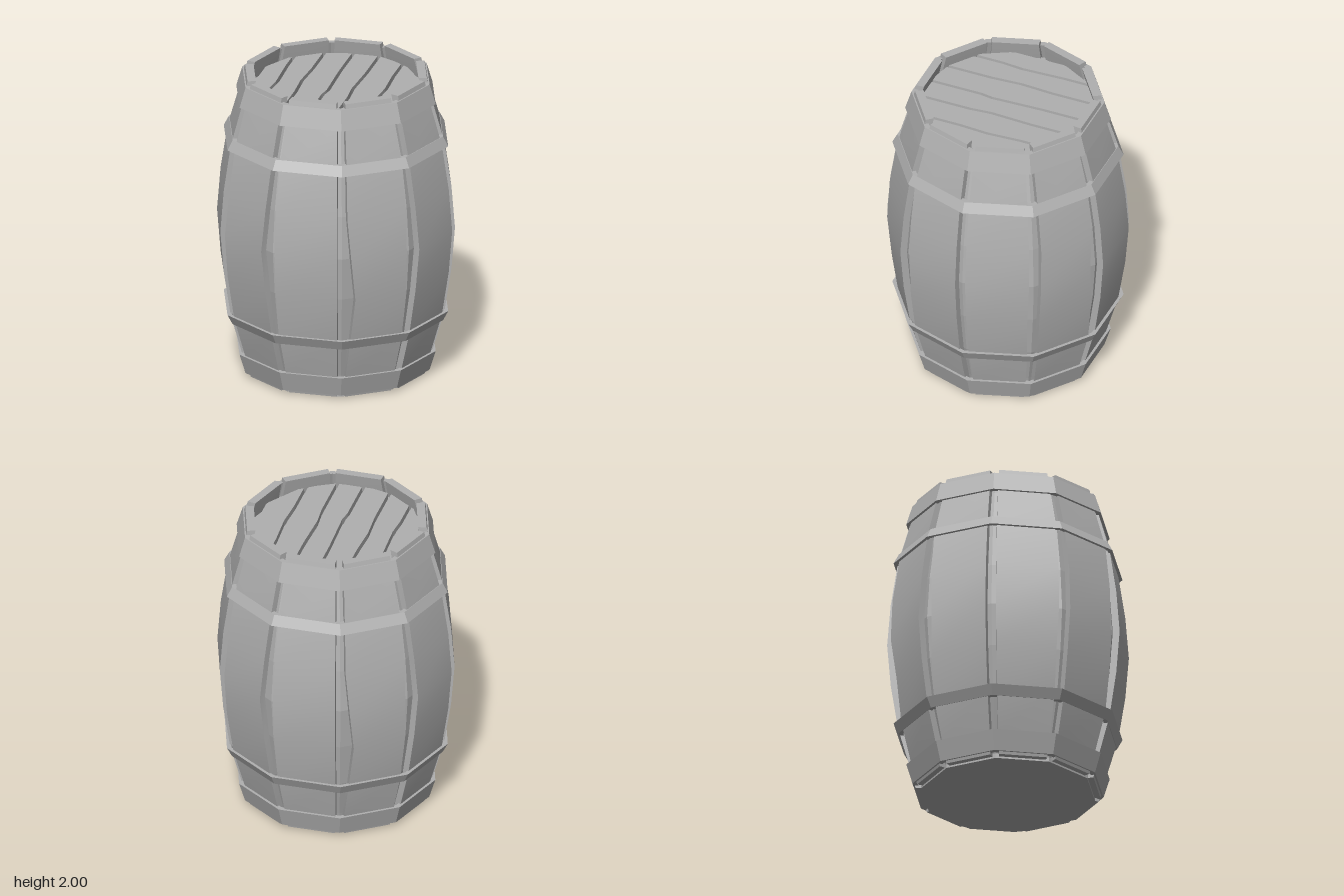
import * as THREE from 'three';

const RAD = Math.PI / 180;
const SIDES = 10;
const TURN = -6 * RAD;                 // centre of the front stave
const STEP = (2 * Math.PI) / SIDES;
const APOTHEM = Math.cos(STEP / 2);

// Stave rows: height, distance of the outer face from the axis, half width
const ROWS = [
  [0.012, 0.570, 0.155], [0.16, 0.606, 0.168], [0.42, 0.678, 0.188],
  [0.72, 0.723, 0.200], [1.00, 0.745, 0.206], [1.28, 0.723, 0.200],
  [1.58, 0.678, 0.188], [1.84, 0.606, 0.168], [2.00, 0.570, 0.155],
];
const THICK = 0.054;

// Worn notches per stave: [left row, left depth, right row, right depth]
const NOTCHES = [
  [4, 0, 4, 0], [3, 0.055, 4, 0.01], [4, 0.03, 5, 0], [4, 0, 3, 0.012], [5, 0.015, 4, 0.04],
];

function staveGeometry([lr, ld, rr, rd]) {
  const dent = (row, at, depth) => depth * Math.max(0, 1 - Math.abs(row - at) * 0.55);
  const rings = ROWS.map(([y, a, w], i) => {
    const l = -w + dent(i, lr, ld), r = w - dent(i, rr, rd);
    return [[l, y, a], [r, y, a], [r * 0.96, y, a - THICK], [l * 0.96, y, a - THICK]];
  });
  const pos = [], index = [];
  // four long faces, creased along the edges and smooth along the height
  for (let k = 0; k < 4; k++) {
    const base = pos.length / 3;
    rings.forEach((ring, i) => {
      pos.push(...ring[k], ...ring[(k + 1) % 4]);
      if (i === 0) return;
      const a = base + (i - 1) * 2;
      index.push(a, a + 1, a + 3, a, a + 3, a + 2);
    });
  }
  // end caps
  for (const ring of [rings[rings.length - 1], [...rings[0]].reverse()]) {
    const b = pos.length / 3;
    ring.forEach((p) => pos.push(...p));
    index.push(b, b + 1, b + 2, b, b + 2, b + 3);
  }
  const geo = new THREE.BufferGeometry();
  geo.setAttribute('position', new THREE.Float32BufferAttribute(pos, 3));
  geo.setIndex(index);
  geo.computeVertexNormals();
  return geo;
}

// Ten-sided turned form with flat faces and its corners at the stave gaps
function decagonLathe(points) {
  const geo = new THREE.LatheGeometry(
    points.map(([r, y]) => new THREE.Vector2(r, y)), SIDES, TURN + STEP / 2).toNonIndexed();
  geo.computeVertexNormals();
  return geo;
}

export function createModel() {
  const barrel = new THREE.Group();
  barrel.name = 'barrel';
  const grey = new THREE.MeshStandardMaterial({ color: 0xb0b0b0 });
  grey.name = 'plainGrey';
  const add = (name, geo, parent = barrel) => {
    const mesh = new THREE.Mesh(geo, grey);
    mesh.name = name;
    parent.add(mesh);
    return mesh;
  };

  // Staves
  for (let i = 0; i < SIDES; i++) {
    add('stave', staveGeometry(NOTCHES[i % 5])).rotation.y = TURN + i * STEP;
  }

  // Inner body seen between the staves
  const wall = ROWS.slice(0, 8).map(([y, a]) => [(a - 0.045) / APOTHEM, y]);
  add('innerBody', decagonLathe([...wall, [0.585, 1.87], [0, 1.87]]));

  // Bottom board
  add('bottomBoard', decagonLathe([[0, 0], [0.56, 0], [0.56, 0.03], [0, 0.03]]));

  // Hoops, mirrored top and bottom: [height, corner radius] of lower and upper edge
  const hoops = [
    ['rimHoop', 1.84, 0.655, 1.97, 0.615, 0.035],
    ['bellyHoop', 1.56, 0.737, 1.625, 0.703, 0.03],
  ];
  for (const [name, y0, r0, y1, r1, t] of hoops) {
    add(name + 'Top', decagonLathe([[r0 - t, y0], [r0, y0], [r1, y1], [r1 - t, y1], [r0 - t, y0]]));
    add(name + 'Bottom', decagonLathe(
      [[r1 - t, 2 - y1], [r1, 2 - y1], [r0, 2 - y0], [r0 - t, 2 - y0], [r1 - t, 2 - y1]]));
  }

  // Lid planks with slightly crooked gaps
  const lid = new THREE.Group();
  lid.name = 'lid';
  lid.rotation.y = TURN;
  barrel.add(lid);
  const seams = [-0.52, -0.38, -0.21, -0.03, 0.14, 0.32, 0.52];
  const chord = (x) => Math.sqrt(0.55 * 0.55 - x * x);
  const edge = (x, side, k) => {
    const h = chord(x), jog = Math.abs(x) > 0.5 ? 0 : 0.012 * (k % 2 ? 1 : -1);
    const gx = x + side * 0.011;
    return [[gx, -h], [gx, -0.2], [gx + jog, -0.12 + 0.06 * (k % 3)], [gx, 0.22], [gx, h]];
  };
  for (let k = 0; k < seams.length - 1; k++) {
    const outline = [...edge(seams[k + 1], -1, k + 1), ...edge(seams[k], 1, k).reverse()];
    const shape = new THREE.Shape(outline.map(([x, y]) => new THREE.Vector2(x, y)));
    const geo = new THREE.ExtrudeGeometry(shape, { depth: 0.045, bevelEnabled: false });
    geo.rotateX(-Math.PI / 2);
    add('lidPlank', geo, lid).position.y = 1.868;
  }
  return barrel;
}
